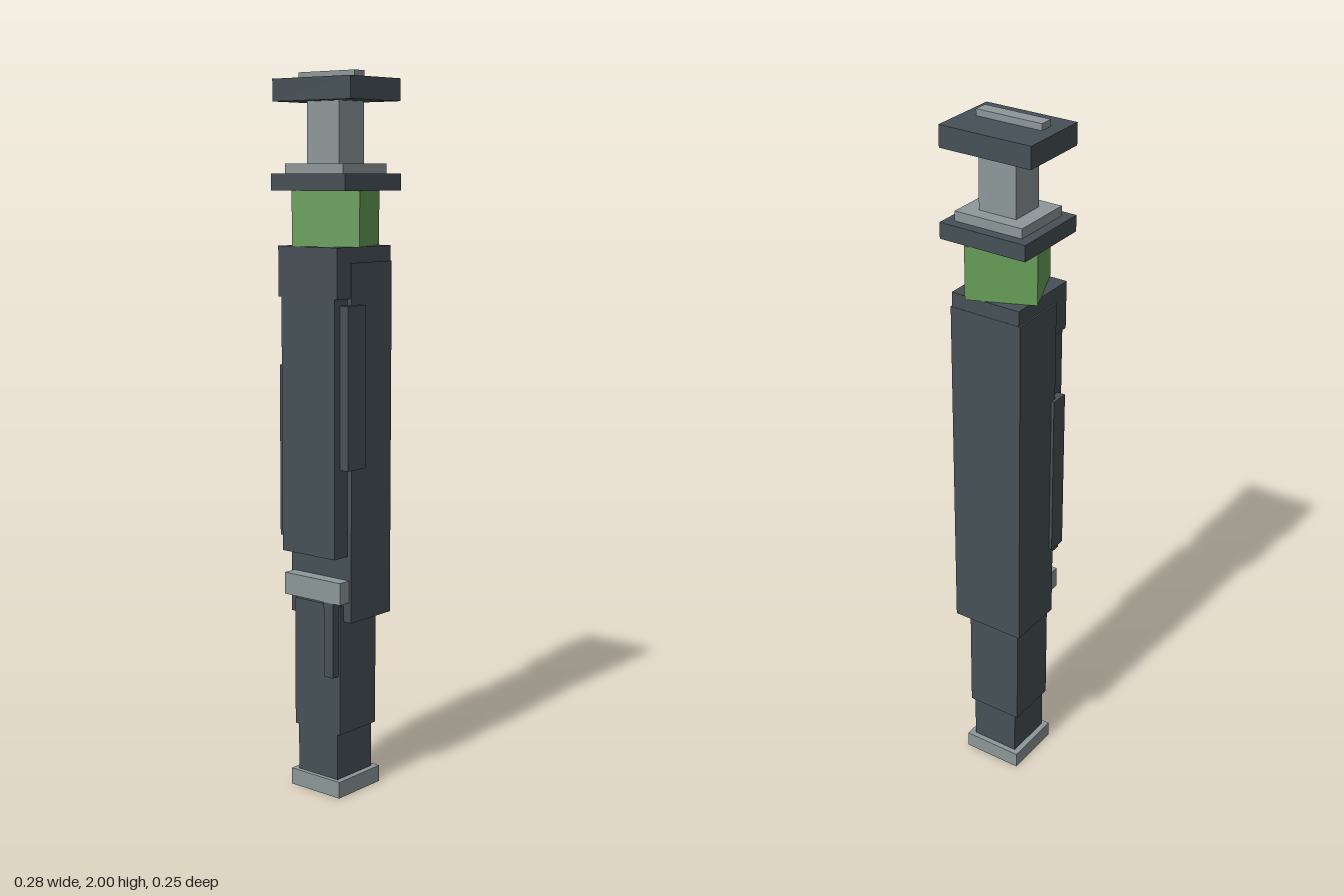
import * as THREE from 'three';

export function createModel() {
  const root = new THREE.Group();
  const material = (name, color) => {
    const m = new THREE.MeshStandardMaterial({ color });
    m.name = name;
    return m;
  };
  const dark = material('dark slate', 0x465056);
  const steel = material('light steel', 0x8d9799);
  const green = material('green', 0x689f5a);

  // Box given by its extents on each axis
  function block(name, mat, [x0, x1], [y0, y1], [z0, z1]) {
    const mesh = new THREE.Mesh(new THREE.BoxGeometry(x1 - x0, y1 - y0, z1 - z0), mat);
    mesh.position.set((x0 + x1) / 2, (y0 + y1) / 2, (z0 + z1) / 2);
    mesh.name = name;
    root.add(mesh);
    return mesh;
  }

  // Foot and stepped lower shaft
  block('foot', steel, [-0.09, 0.088], [0, 0.047], [-0.088, 0.09]);
  block('lowerShaft', dark, [-0.073, 0.071], [0.047, 0.18], [-0.072, 0.077]);
  block('shaftSleeve', dark, [-0.085, 0.081], [0.18, 0.55], [-0.077, 0.078]);

  // Main casing with its raised front and shoulder
  block('casing', dark, [-0.11, 0.109], [0.505, 1.495], [-0.107, 0.064]);
  block('shoulder', dark, [-0.105, 0.105], [1.4, 1.537], [-0.106, 0.119]);
  block('frontPanel', dark, [-0.095, 0.095], [0.692, 1.4], [0.05, 0.118]);

  // Side plates, one higher than the other
  block('leftSidePlate', dark, [0.09, 0.123], [0.937, 1.382], [0.02, 0.095]);
  block('rightSidePlate', dark, [-0.119, -0.09], [0.73, 1.21], [0.045, 0.1]);

  // Front clip and its hanging bar
  block('clip', steel, [-0.1, 0.102], [0.563, 0.625], [0.05, 0.104]);
  block('clipBar', dark, [0.043, 0.076], [0.35, 0.563], [0.06, 0.103]);

  // Turned square neck
  const neck = block('neck', green, [-0.095, 0.095], [1.537, 1.685], [-0.095, 0.095]);
  neck.rotation.y = 0.405;

  // Collar, plunger and cap
  block('collar', dark, [-0.132, 0.13], [1.685, 1.73], [-0.119, 0.117]);
  block('collarRing', steel, [-0.103, 0.103], [1.73, 1.757], [-0.09, 0.092]);
  block('plungerRod', steel, [-0.058, 0.056], [1.757, 1.922], [-0.05, 0.053]);
  block('cap', dark, [-0.138, 0.137], [1.922, 1.982], [-0.105, 0.103]);
  block('capRidge', steel, [-0.1, 0.098], [1.982, 2], [0, 0.04]);

  return root;
}
